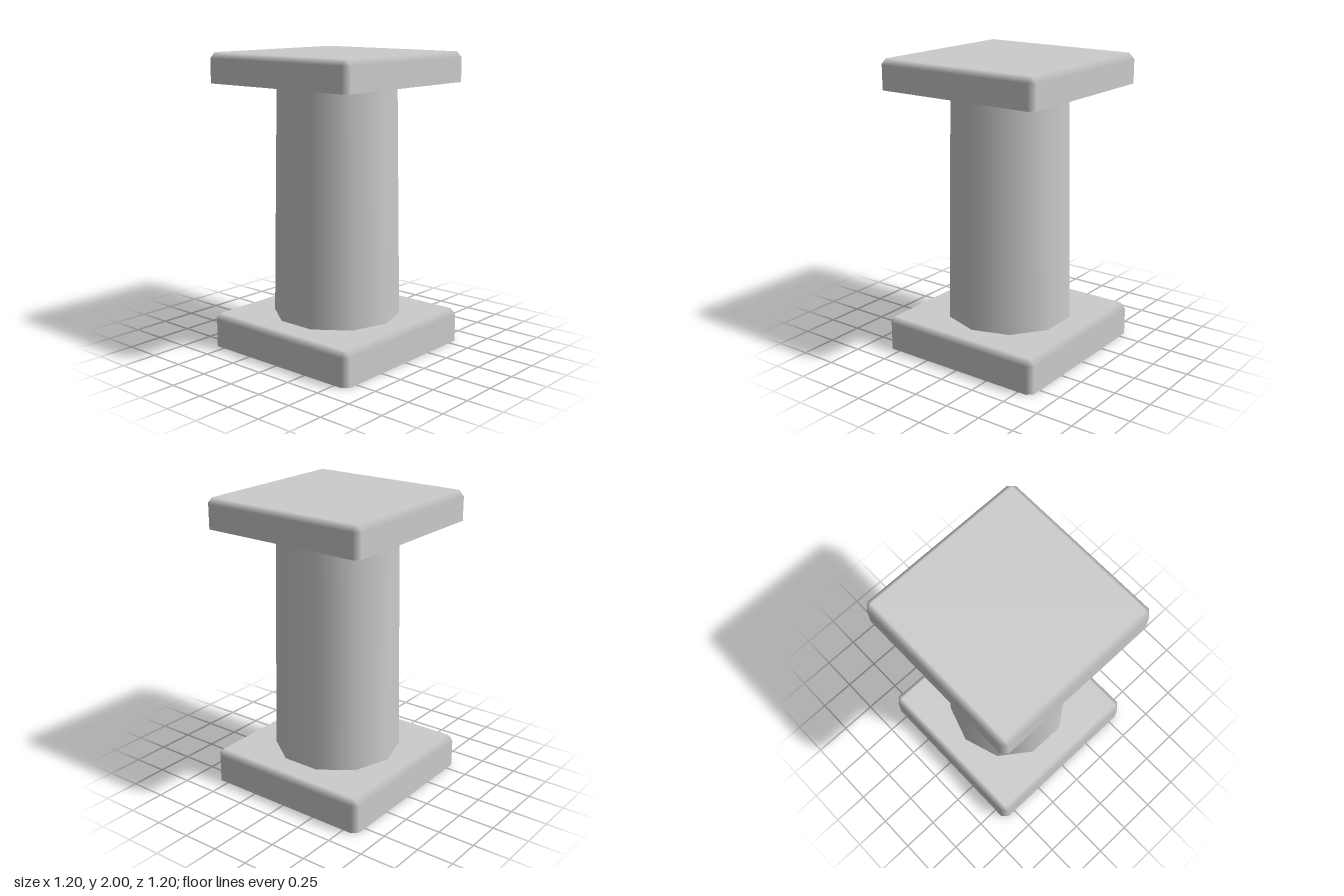
import * as THREE from 'three';

const material = new THREE.MeshStandardMaterial({ color: 0xcccccc, side: THREE.DoubleSide });

// Square slab, open underneath, with bevelled upright and top edges.
// Normals follow the flat faces so only the bevels shade as rounded.
function slabGeometry(half, bottom, top, bevel) {
  const positions = [], normals = [], indices = [];
  const inner = half - bevel;

  // lower rim, shoulder below the bevel, top edge (each 8 points)
  for (const [y, isTop] of [[bottom, false], [top - bevel, false], [top, true]]) {
    for (let corner = 0; corner < 4; corner++) {
      for (let p = 0; p < 2; p++) {
        let x = isTop || p === 0 ? inner : half;
        let z = isTop || p === 1 ? inner : half;
        let nx = p, nz = 1 - p;
        for (let turn = 0; turn < corner; turn++) {
          [x, z] = [z, -x];
          [nx, nz] = [nz, -nx];
        }
        positions.push(x, y, z);
        normals.push(...(isTop ? [0, 1, 0] : [nx, 0, nz]));
      }
    }
  }

  for (let ring = 0; ring < 2; ring++) {
    for (let i = 0; i < 8; i++) {
      const a = ring * 8 + i, b = ring * 8 + (i + 1) % 8;
      indices.push(a, b, b + 8);
      // the top corners close to a point, so they need one triangle only
      if (ring === 0 || i % 2 === 1) indices.push(a, b + 8, a + 8);
    }
  }
  indices.push(16, 18, 20, 16, 20, 22); // flat top

  const geometry = new THREE.BufferGeometry();
  geometry.setAttribute('position', new THREE.Float32BufferAttribute(positions, 3));
  geometry.setAttribute('normal', new THREE.Float32BufferAttribute(normals, 3));
  geometry.setIndex(indices);
  return geometry;
}

export function createModel() {
  const group = new THREE.Group();
  group.name = 'pillar';
  const add = (name, geometry) => {
    const mesh = new THREE.Mesh(geometry, material);
    mesh.name = name;
    group.add(mesh);
    return mesh;
  };

  const baseTop = 0.23, capBottom = 1.8;
  add('baseSlab', slabGeometry(0.6, 0, baseTop, 0.038));
  add('capSlab', slabGeometry(0.6, capBottom, 2, 0.038));

  // Tapered ten-sided shaft with corners pointing left and right
  const shaft = add('shaft', new THREE.CylinderGeometry(
    0.4, 0.43, capBottom - baseTop, 10, 1, true, Math.PI / 2));
  shaft.position.y = (baseTop + capBottom) / 2;

  return group;
}
